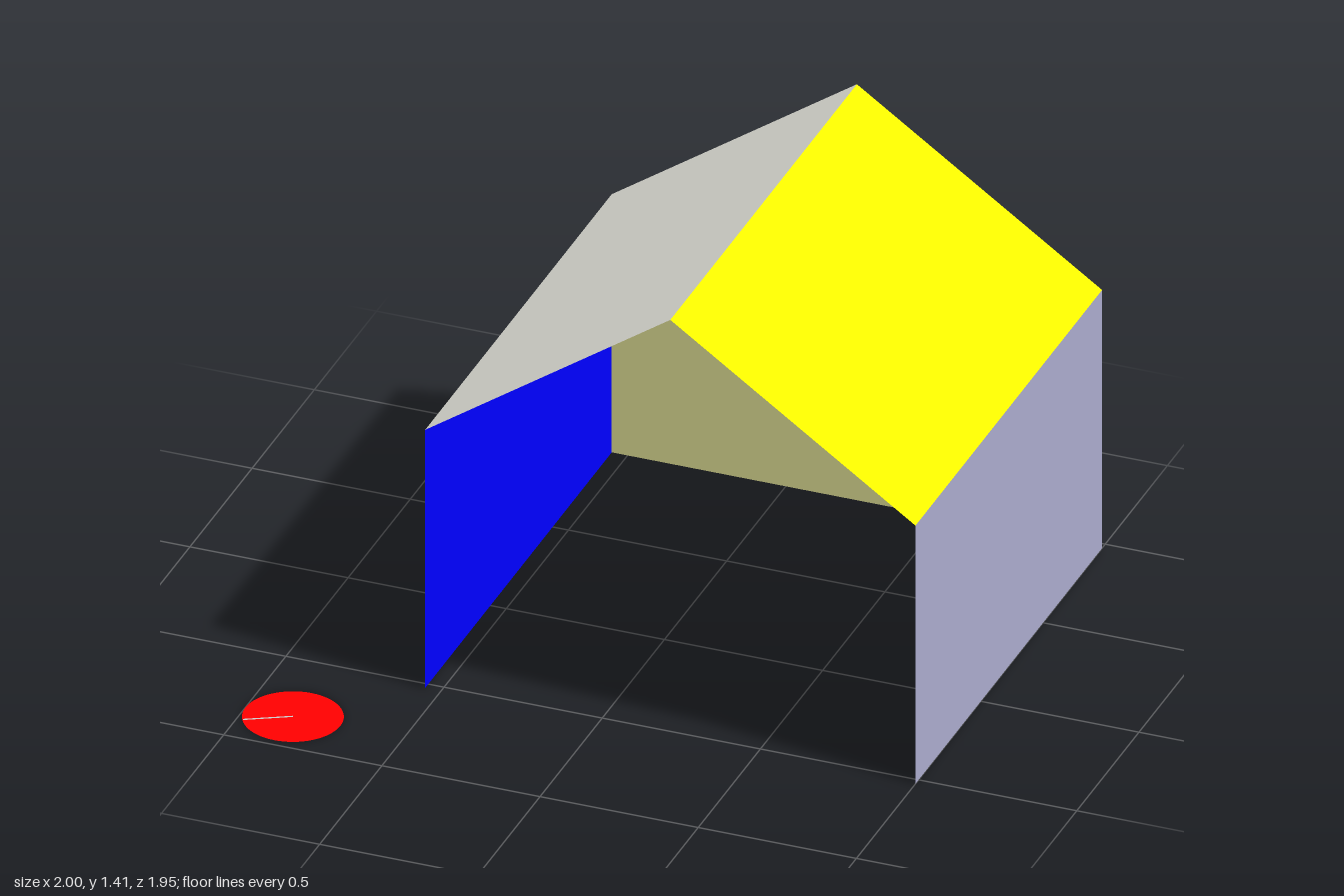
import * as THREE from 'three';

const LEFT = 1, RIGHT = -0.55, MID = 0.225;   // wall and ridge positions in x
const FRONT = 0.525, BACK = -0.975;           // house extent in z
const EAVES = 0.875, RIDGE = 1.41;

function addPart(group, name, geometry, color) {
  const material = new THREE.MeshStandardMaterial({ color, side: THREE.DoubleSide });
  const mesh = new THREE.Mesh(geometry, material);
  mesh.name = name;
  group.add(mesh);
  return mesh;
}

// Flat panel spanning two profile points, running from back to front
function panel([x0, y0], [x1, y1]) {
  const g = new THREE.PlaneGeometry(1, 1);
  const p = g.attributes.position;
  for (let i = 0; i < p.count; i++) {
    const t = p.getX(i) + 0.5;
    const z = p.getY(i) > 0 ? BACK : FRONT;
    p.setXYZ(i, x0 + (x1 - x0) * t, y0 + (y1 - y0) * t, z);
  }
  g.computeVertexNormals();
  return g;
}

export function createModel() {
  const model = new THREE.Group();
  model.name = 'openHouse';

  // House profile from one wall foot, over the ridge, to the other
  const profile = [[RIGHT, 0], [RIGHT, EAVES], [MID, RIDGE], [LEFT, EAVES], [LEFT, 0]];
  const names = ['rightWall', 'rightRoof', 'leftRoof', 'leftWall'];
  const colors = [0x0000ff, 0xe6e6dd, 0xffff00, 0xaaaacc];
  names.forEach((name, i) => addPart(model, name, panel(profile[i], profile[i + 1]), colors[i]));

  // Gabled back wall; the front stays open
  const gable = new THREE.Shape(profile.map(([x, y]) => new THREE.Vector2(x, y)));
  addPart(model, 'backWall', new THREE.ShapeGeometry(gable), 0xd8d890).position.z = BACK;

  // Red disc on the ground with a thin radial mark
  const disc = new THREE.Group();
  disc.name = 'groundDisc';
  disc.position.set(-0.85, 0, 0.825);
  addPart(disc, 'disc', new THREE.CircleGeometry(0.15, 64).rotateX(-Math.PI / 2), 0xff0000);
  const mark = new THREE.PlaneGeometry(0.148, 0.007).rotateX(-Math.PI / 2).translate(0.074, 0.001, 0);
  addPart(disc, 'radialMark', mark, 0xcccccc).rotation.y = Math.PI + 0.5;
  model.add(disc);

  return model;
}
